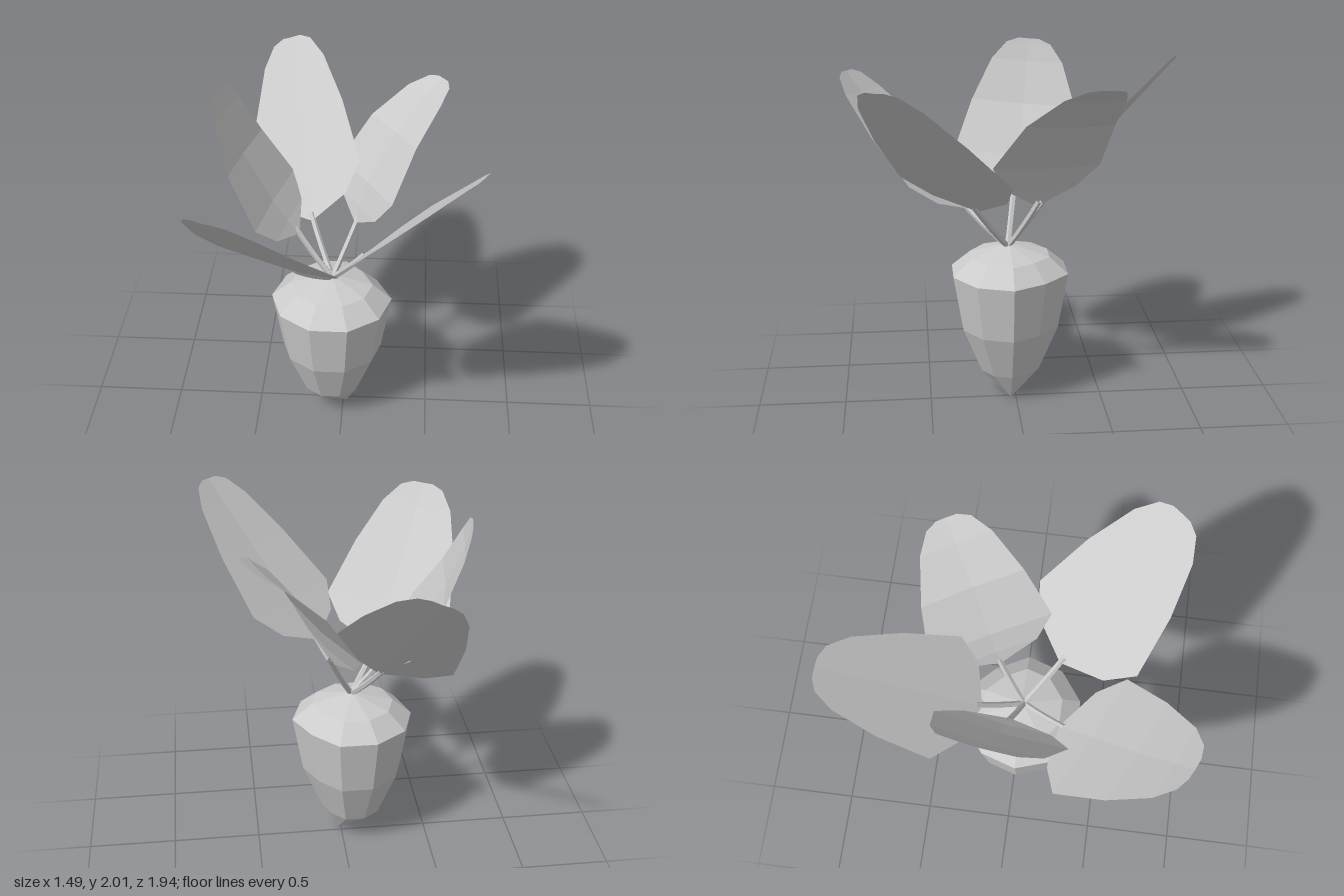
import * as THREE from 'three';

const material = new THREE.MeshStandardMaterial({ color: 0xcccccc, flatShading: true, side: THREE.DoubleSide });
const V = (x, y, z) => new THREE.Vector3(x, y, z);
const CROWN = V(-0.06, 0.92, 0.04);

// Ten-sided root, flattened at its back left corner, with a tip that leans sideways
function makeRoot() {
  const profile = [[0, 0], [0.176, 0.165], [0.288, 0.44], [0.345, 0.775], [0.235, 0.87], [0, 0.935]];
  const geo = new THREE.LatheGeometry(profile.map(([r, y]) => new THREE.Vector2(r, y)), 10, Math.PI / 2);
  const pos = geo.attributes.position;
  for (let i = 0; i < pos.count; i++) {
    const x = pos.getX(i), y = pos.getY(i), z = pos.getZ(i);
    const flat = x - z > 1.34 * Math.hypot(x, z) ? 0.9 : 1;
    const lean = Math.max(0, 1 - y / 0.16) * 0.085;
    pos.setXYZ(i, x * flat - 0.065 + lean, y, z * flat + 0.03);
  }
  return new THREE.Mesh(geo, material);
}

// Leaf stations: position along the midrib, half width
const OUTLINE = [[0, 0.01], [0.1, 0.25], [0.25, 0.375], [0.59, 0.305], [0.86, 0.21], [0.97, 0.13], [1, 0.06]];

// Blade from cross-sections along a bowed midrib, three points across
function makeBlade({ base, tip, side, bow, width }) {
  const axis = tip.clone().sub(base);
  const dir = axis.clone().normalize();
  const across = side.clone().addScaledVector(dir, -side.dot(dir)).normalize();
  const up = V(0, 0, 0).crossVectors(dir, across);
  if (up.y < 0) {
    up.negate();
    across.negate();
  }
  const points = [], index = [];
  OUTLINE.forEach(([t, w], row) => {
    for (const k of [-1, 0, 1]) {
      const fold = Math.abs(k) * w * 0.05;
      const p = base.clone().addScaledVector(axis, t)
        .addScaledVector(across, k * w * width)
        .addScaledVector(up, bow * 4 * t * (1 - t) + fold);
      points.push(p);
    }
    if (row === 0) return;
    for (let k = 0; k < 2; k++) {
      const a = (row - 1) * 3 + k, b = row * 3 + k;
      index.push(a, a + 1, b, a + 1, b + 1, b);
    }
  });
  const geo = new THREE.BufferGeometry().setFromPoints(points);
  geo.setIndex(index);
  geo.computeVertexNormals();
  return new THREE.Mesh(geo, material);
}

// Slender stalk from the crown to just under the blade
function makeStalk({ base, tip }) {
  const middle = CROWN.clone().lerp(base, 0.55).add(V(0, -0.02, 0));
  const end = base.clone().lerp(tip, 0.04);
  const curve = new THREE.QuadraticBezierCurve3(CROWN, middle, end);
  return new THREE.Mesh(new THREE.TubeGeometry(curve, 4, 0.017, 5), material);
}

const LEAVES = [
  { name: 'frontRightLeaf', base: V(-0.23, 1.1, 0.26), tip: V(-0.61, 1.84, 0.94), side: V(0.66, 0.09, 0.37), bow: -0.025, width: 1 },
  { name: 'frontLeftLeaf', base: V(0.11, 1.19, 0.22), tip: V(0.68, 1.99, 0.75), side: V(0.42, 0, -0.61), bow: -0.01, width: 1 },
  { name: 'backLeftLeaf', base: V(0.06, 1.2, -0.11), tip: V(0.53, 1.945, -0.44), side: V(0.33, 0.1, 0.63), bow: 0.09, width: 0.94 },
  { name: 'backLeaf', base: V(-0.19, 1.16, -0.18), tip: V(-0.36, 1.935, -0.96), side: V(0.97, 0.4, 0.1), bow: 0, width: 0.9 },
  { name: 'rightLeaf', base: V(-0.25, 1.18, -0.01), tip: V(-0.68, 2, -0.14), side: V(0.18, -0.06, -0.98), bow: -0.06, width: 1 },
];

export function createModel() {
  const model = new THREE.Group();
  model.name = 'leafyRoot';
  const root = makeRoot();
  root.name = 'root';
  model.add(root);
  for (const spec of LEAVES) {
    const leaf = new THREE.Group();
    leaf.name = spec.name;
    const blade = makeBlade(spec), stalk = makeStalk(spec);
    blade.name = 'blade';
    stalk.name = 'stalk';
    leaf.add(blade, stalk);
    model.add(leaf);
  }
  return model;
}
